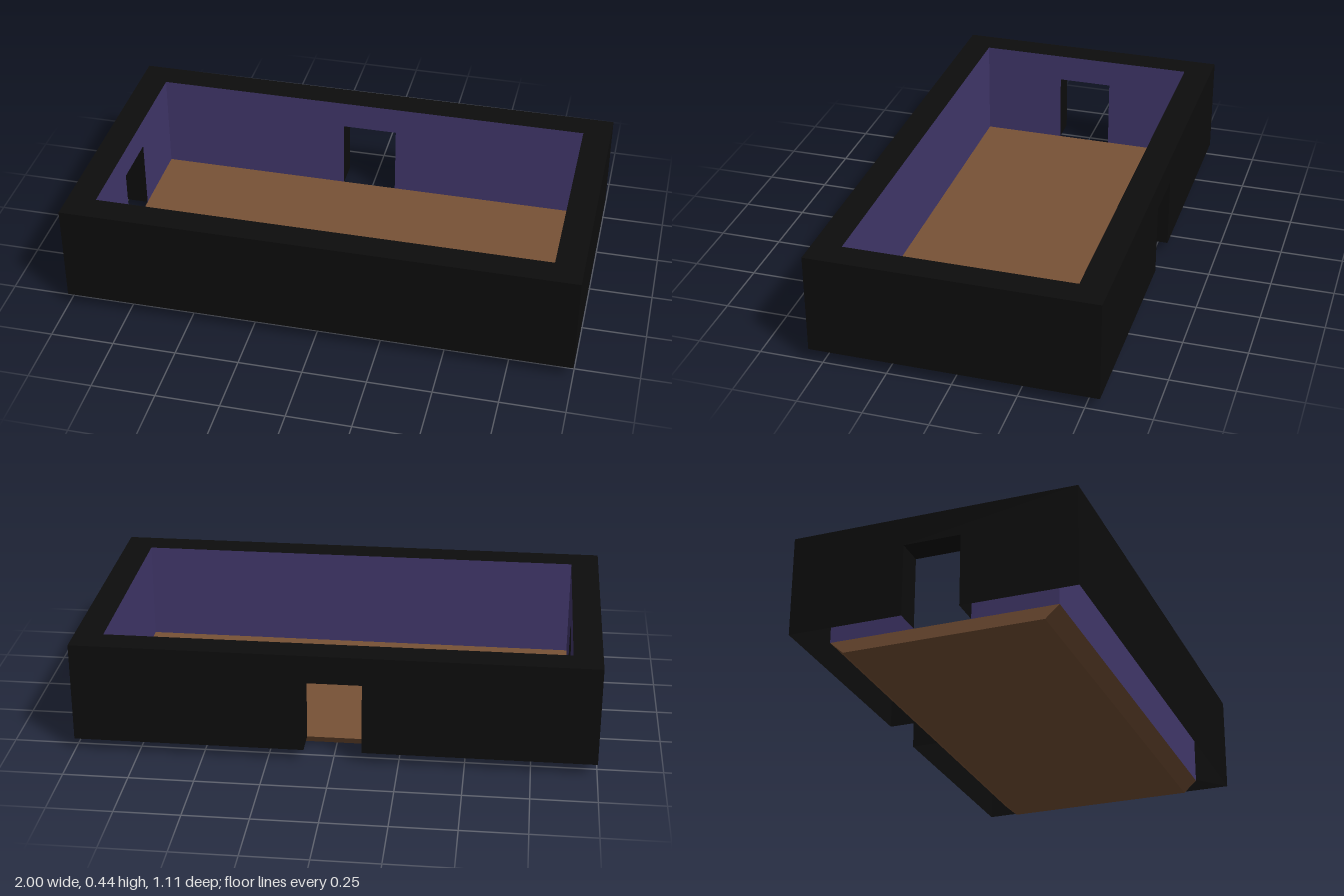
import * as THREE from 'three';

const OUT = { x: 1, z: 0.555 };       // half size of the outer wall faces
const IN = { x: 0.889, z: 0.444 };    // half size of the room
const BASE = 0.049, TOP = 0.445;      // wall bottom and top
const DOOR_W = 0.111, DOOR_TOP = 0.333;

function material(name, color) {
  const m = new THREE.MeshStandardMaterial({ color, side: THREE.DoubleSide });
  m.name = name;
  return m;
}

// Flat wall sheet, optionally notched by a doorway reaching its lower edge
function wallSheet(half, hasDoor) {
  const s = new THREE.Shape();
  s.moveTo(-half, BASE);
  if (hasDoor) {
    s.lineTo(-DOOR_W, BASE);
    s.lineTo(-DOOR_W, DOOR_TOP);
    s.lineTo(DOOR_W, DOOR_TOP);
    s.lineTo(DOOR_W, BASE);
  }
  s.lineTo(half, BASE);
  s.lineTo(half, TOP);
  s.lineTo(-half, TOP);
  return new THREE.ShapeGeometry(s);
}

function rectangle(path, hx, hz) {
  path.moveTo(-hx, -hz);
  path.lineTo(hx, -hz);
  path.lineTo(hx, hz);
  path.lineTo(-hx, hz);
  path.closePath();
  return path;
}

export function createModel() {
  const model = new THREE.Group();
  model.name = 'room';
  const black = material('outer wall black', 0x0d0d0d);
  const purple = material('inner wall purple', 0x41376b);
  const brown = material('floor brown', 0x785236);

  const add = (parent, name, geometry, mat) => {
    const mesh = new THREE.Mesh(geometry, mat);
    mesh.name = name;
    parent.add(mesh);
    return mesh;
  };

  // Hollow walls, open underneath: each side is an outer and an inner sheet
  const sides = [
    { name: 'front', turn: 0, along: 'x', away: 'z', door: false },
    { name: 'left', turn: Math.PI / 2, along: 'z', away: 'x', door: false },
    { name: 'back', turn: Math.PI, along: 'x', away: 'z', door: true },
    { name: 'right', turn: -Math.PI / 2, along: 'z', away: 'x', door: true },
  ];
  for (const { name, turn, along, away, door } of sides) {
    const wall = new THREE.Group();
    wall.name = name + 'Wall';
    wall.rotation.y = turn;
    model.add(wall);
    add(wall, name + 'OuterWall', wallSheet(OUT[along], door), black).position.z = OUT[away];
    const inner = add(wall, name + 'InnerWall', wallSheet(IN[along], door), purple);
    inner.rotation.y = Math.PI;
    inner.position.z = IN[away];

    // Doorway lining: two jambs and a lintel
    if (door) {
      const depth = OUT[away] - IN[away], mid = (OUT[away] + IN[away]) / 2;
      for (const s of [-1, 1]) {
        const jamb = add(wall, name + 'DoorJamb', new THREE.PlaneGeometry(depth, DOOR_TOP - BASE), black);
        jamb.rotation.y = -s * Math.PI / 2;
        jamb.position.set(s * DOOR_W, (DOOR_TOP + BASE) / 2, mid);
      }
      const lintel = add(wall, name + 'DoorLintel', new THREE.PlaneGeometry(2 * DOOR_W, depth), black);
      lintel.rotation.x = Math.PI / 2;
      lintel.position.set(0, DOOR_TOP, mid);
    }
  }

  // Flat rim on top of the walls
  const rim = rectangle(new THREE.Shape(), OUT.x, OUT.z);
  rim.holes.push(rectangle(new THREE.Path(), IN.x, IN.z));
  const rimMesh = add(model, 'wallRim', new THREE.ShapeGeometry(rim), black);
  rimMesh.rotation.x = -Math.PI / 2;
  rimMesh.position.y = TOP;

  // Floor slab with bevelled front and back, upright ends
  const profile = new THREE.Shape();
  profile.moveTo(-0.39, 0);
  profile.lineTo(0.39, 0);
  profile.lineTo(IN.z, BASE);
  profile.lineTo(-IN.z, BASE);
  const slab = new THREE.ExtrudeGeometry(profile, { depth: 2 * IN.x, bevelEnabled: false });
  slab.translate(0, 0, -IN.x);
  slab.rotateY(Math.PI / 2);
  add(model, 'floor', slab, brown);

  return model;
}
